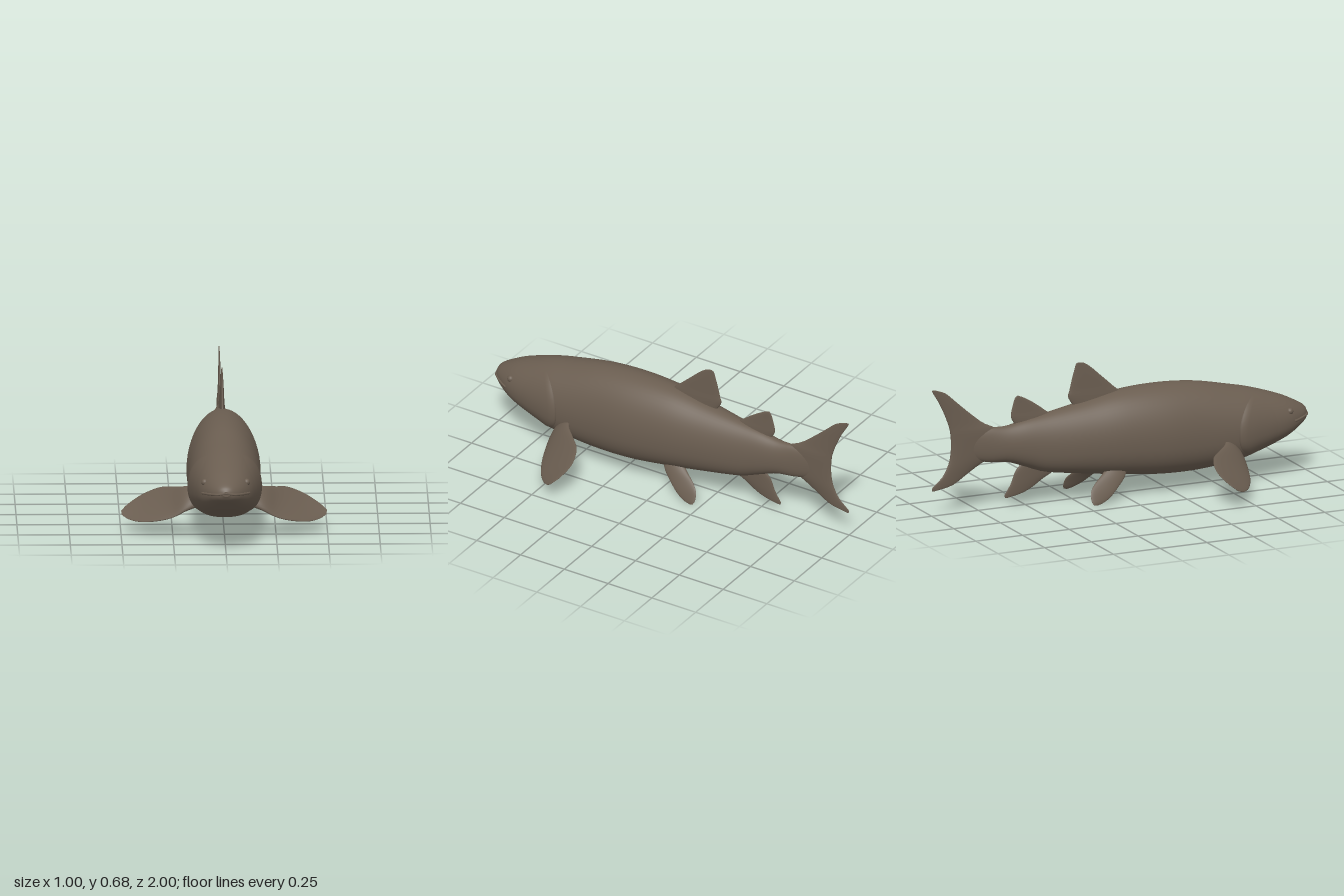
import * as THREE from 'three';

const V = (x, y, z) => new THREE.Vector3(x, y, z);

// Body stations: z, belly y, back y, half width (tail to snout)
const STATIONS = [
  [-0.88, 0.31, 0.35, 0.003], [-0.8, 0.27, 0.39, 0.014], [-0.7, 0.24, 0.41, 0.03],
  [-0.6, 0.23, 0.41, 0.05], [-0.5, 0.195, 0.43, 0.07], [-0.4, 0.16, 0.447, 0.09],
  [-0.2, 0.13, 0.483, 0.128], [0, 0.105, 0.52, 0.16], [0.2, 0.085, 0.53, 0.178],
  [0.4, 0.084, 0.517, 0.176], [0.6, 0.108, 0.476, 0.172], [0.7, 0.135, 0.452, 0.16],
  [0.8, 0.168, 0.42, 0.142], [0.88, 0.2, 0.39, 0.118], [0.95, 0.24, 0.355, 0.08],
  [0.985, 0.265, 0.333, 0.048], [1, 0.288, 0.312, 0.016],
];
const spline = (pts) => new THREE.CatmullRomCurve3(pts, false, 'catmullrom', 0.5);
const backLine = spline(STATIONS.map(([z, , top, w]) => V(w, top, z)));
const bellyLine = spline(STATIONS.map(([z, low]) => V(0, low, z)));

// Point on the body skin at length z and angle a around the body
function skin(z, a, grow = 0) {
  let lo = 0, hi = 1;
  for (let i = 0; i < 24; i++) {
    const mid = (lo + hi) / 2;
    if (backLine.getPoint(mid).z < z) lo = mid; else hi = mid;
  }
  const back = backLine.getPoint(lo), low = bellyLine.getPoint(lo).y;
  const cy = THREE.MathUtils.lerp(low, back.y, 0.42);
  const c = Math.cos(a), s = Math.sin(a);
  const e = s < 0 ? 0.82 : 1; // fuller below than above
  const x = Math.sign(c) * Math.abs(c) ** e * (back.x + grow);
  const y = Math.sign(s) * Math.abs(s) ** e * ((s < 0 ? cy - low : back.y - cy) + grow);
  return V(x, cy + y, z);
}

// Skins closed rings of points, with a fan closing both ends
function loft(rings) {
  const n = rings[0].length, pos = [], index = [];
  rings.forEach((r) => r.forEach((p) => pos.push(p.x, p.y, p.z)));
  for (let i = 0; i < rings.length - 1; i++) {
    for (let j = 0; j < n; j++) {
      const a = i * n + j, b = i * n + (j + 1) % n;
      index.push(a, b, a + n, b, b + n, a + n);
    }
  }
  [0, rings.length - 1].forEach((i) => {
    const mid = rings[i].reduce((m, p) => m.add(p), V(0, 0, 0)).divideScalar(n);
    const tip = pos.length / 3;
    pos.push(mid.x, mid.y, mid.z);
    for (let j = 0; j < n; j++) {
      const a = i * n + j, b = i * n + (j + 1) % n;
      if (i === 0) index.push(tip, b, a); else index.push(tip, a, b);
    }
  });
  const g = new THREE.BufferGeometry();
  g.setAttribute('position', new THREE.Float32BufferAttribute(pos, 3));
  g.setIndex(index);
  g.computeVertexNormals();
  return g;
}

const ring = (n, f) => Array.from({ length: n }, (_, j) => f((j / n) * Math.PI * 2));

// Lens-shaped fin: rows of [front x, y, z, rear x, y, z, half thickness], root to tip
function finGeometry(rows, side = 1) {
  const front = spline(rows.map((r) => V(r[0] * side, r[1], r[2])));
  const rear = spline(rows.map((r) => V(r[3] * side, r[4], r[5])));
  const thick = spline(rows.map((r, i) => V(r[6], i, 0)));
  const steps = 32, rings = [];
  const centre = (u) => front.getPoint(u).add(rear.getPoint(u)).multiplyScalar(0.5);
  for (let i = 0; i <= steps; i++) {
    const u = i / steps;
    const half = front.getPoint(u).sub(rear.getPoint(u)).multiplyScalar(0.5);
    const span = centre(Math.min(1, u + 0.02)).sub(centre(Math.max(0, u - 0.02)));
    const normal = span.cross(half).normalize().multiplyScalar(thick.getPoint(u).x);
    rings.push(ring(24, (a) => centre(u)
      .addScaledVector(half, Math.cos(a)).addScaledVector(normal, Math.sin(a))));
  }
  return loft(rings);
}

// Fin on the centre plane: rows of [y, front z, rear z, half thickness]
const flat = (rows) => rows.map(([y, f, b, t, yb = y]) => [0, y, f, 0, yb, b, t]);

const DORSAL = flat([
  [0.44, 0.03, -0.22, 0.016], [0.51, 0.005, -0.268, 0.013], [0.55, -0.035, -0.262, 0.01],
  [0.6, -0.09, -0.25, 0.008], [0.65, -0.145, -0.236, 0.005], [0.675, -0.18, -0.228, 0.003],
  [0.682, -0.205, -0.218, 0.002],
]);
const REAR_DORSAL = flat([
  [0.39, -0.34, -0.54, 0.015], [0.44, -0.365, -0.572, 0.012], [0.47, -0.4, -0.575, 0.009],
  [0.51, -0.455, -0.565, 0.006], [0.54, -0.505, -0.556, 0.004], [0.553, -0.535, -0.545, 0.002],
]);
const ANAL = flat([
  [0.23, -0.32, -0.5, 0.015], [0.16, -0.345, -0.55, 0.012, 0.18], [0.12, -0.41, -0.575, 0.009],
  [0.085, -0.465, -0.595, 0.006], [0.062, -0.52, -0.61, 0.004], [0.048, -0.59, -0.606, 0.002],
]);
const TAIL = flat([
  [0.127, -0.98, -0.997, 0.002], [0.145, -0.89, -0.995, 0.004], [0.19, -0.815, -0.945, 0.007],
  [0.235, -0.74, -0.918, 0.012], [0.28, -0.65, -0.903, 0.016], [0.34, -0.63, -0.897, 0.017],
  [0.4, -0.65, -0.9, 0.016], [0.44, -0.725, -0.908, 0.011], [0.5, -0.8, -0.93, 0.007],
  [0.56, -0.868, -0.958, 0.005], [0.61, -0.925, -0.988, 0.003], [0.632, -0.98, -0.999, 0.002],
]);
const PECTORAL = [
  [0.12, 0.16, 0.58, 0.12, 0.25, 0.5, 0.03], [0.185, 0.137, 0.588, 0.185, 0.238, 0.485, 0.02],
  [0.25, 0.102, 0.58, 0.25, 0.223, 0.42, 0.012], [0.32, 0.08, 0.555, 0.31, 0.209, 0.362, 0.009],
  [0.4, 0.066, 0.51, 0.39, 0.172, 0.337, 0.007], [0.46, 0.069, 0.458, 0.46, 0.13, 0.358, 0.005],
  [0.495, 0.083, 0.415, 0.498, 0.1, 0.39, 0.002],
];
const PELVIC = [
  [0.085, 0.16, 0.01, 0.075, 0.16, -0.1, 0.02], [0.115, 0.115, -0.02, 0.1, 0.13, -0.14, 0.014],
  [0.138, 0.075, -0.065, 0.122, 0.098, -0.185, 0.009], [0.157, 0.035, -0.115, 0.143, 0.065, -0.215, 0.007],
  [0.167, 0.012, -0.16, 0.16, 0.028, -0.22, 0.005], [0.17, 0.003, -0.195, 0.17, 0.008, -0.213, 0.002],
];

export function createModel() {
  const model = new THREE.Group();
  model.name = 'fish';
  const skinBrown = new THREE.MeshStandardMaterial({ color: 0x6a5d50 });
  skinBrown.name = 'skinBrown';
  const add = (name, geometry) => {
    const mesh = new THREE.Mesh(geometry, skinBrown);
    mesh.name = name;
    model.add(mesh);
    return mesh;
  };

  // Body, with rings crowded toward the snout
  const rings = [];
  for (let i = 0; i <= 90; i++) {
    const z = -0.88 + 1.88 * Math.sin((i / 90) * Math.PI / 2);
    rings.push(ring(56, (a) => skin(z, a)));
  }
  add('body', loft(rings));

  // Gill covers: a raised skin whose rear edge is an arc on each cheek
  const gill = [];
  for (let i = 0; i <= 16; i++) {
    const t = i / 16;
    gill.push(ring(56, (a) => {
      const edge = 0.555 + 0.13 * Math.sin(a) ** 2;
      const lift = t < 0.12 ? t / 0.12 : (1 - t) / 0.88;
      return skin(THREE.MathUtils.lerp(edge, 0.86, t), a,
        -0.003 + 0.011 * lift * Math.cos(a) ** 2);
    }));
  }
  add('gillCover', loft(gill));

  // Upper lip following the mouth line round the snout
  const half = [0.89, 0.92, 0.95, 0.975, 0.99].map((z) => skin(z, 0.04));
  const lip = [...half, V(0, 0.302, 0.996),
    ...half.map((p) => V(-p.x, p.y, p.z)).reverse()];
  add('upperLip', new THREE.TubeGeometry(spline(lip), 48, 0.006, 8));

  // Fins on the centre plane
  add('dorsalFin', finGeometry(DORSAL));
  add('rearDorsalFin', finGeometry(REAR_DORSAL));
  add('analFin', finGeometry(ANAL));
  add('tailFin', finGeometry(TAIL));

  // Paired fins and eyes
  for (const [side, label] of [[1, 'left'], [-1, 'right']]) {
    add(label + 'PectoralFin', finGeometry(PECTORAL, side));
    add(label + 'PelvicFin', finGeometry(PELVIC, side));
    const eye = add(label + 'Eye', new THREE.SphereGeometry(0.017, 20, 14));
    const p = skin(0.87, 0.5);
    eye.position.set(side * (p.x - 0.006), p.y, p.z);
  }
  return model;
}
